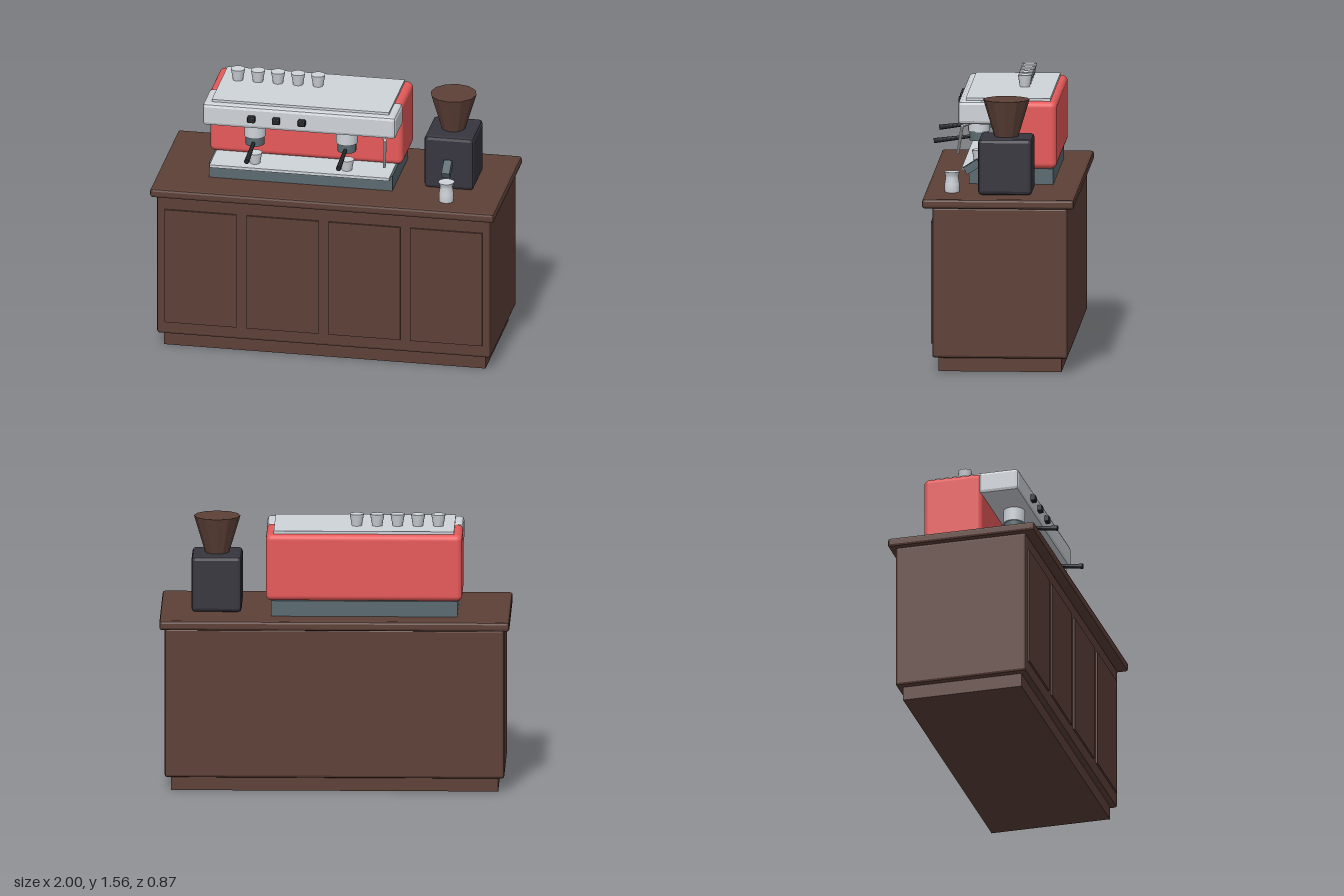
import * as THREE from 'three';
import { RoundedBoxGeometry } from 'three/addons/geometries/RoundedBoxGeometry.js';
import { toCreasedNormals } from 'three/addons/utils/BufferGeometryUtils.js';

const paint = (name, color) => {
  const m = new THREE.MeshStandardMaterial({ color });
  m.name = name;
  return m;
};

export function createModel() {
  const wood = paint('darkWood', 0x5d4037);
  const red = paint('redEnamel', 0xe85a5a);
  const steel = paint('lightSteel', 0xcfd4da);
  const slate = paint('slateMetal', 0x5a6a70);
  const charcoal = paint('charcoal', 0x37363f);
  const black = paint('blackPlastic', 0x24262a);

  const model = new THREE.Group();
  model.name = 'coffeeCounter';

  const add = (name, geometry, material, parent = model) => {
    const mesh = new THREE.Mesh(geometry, material);
    mesh.name = name;
    parent.add(mesh);
    return mesh;
  };
  // Box from its limits; bevel 0 is sharp, one segment is a chamfer
  const box = (name, mat, [x0, x1], [y0, y1], [z0, z1], bevel = 0, segments = 1, parent = model) => {
    const w = x1 - x0, h = y1 - y0, d = z1 - z0;
    const g = bevel ? new RoundedBoxGeometry(w, h, d, segments, bevel) : new THREE.BoxGeometry(w, h, d);
    if (bevel && segments === 1) g.computeVertexNormals();
    const mesh = add(name, g, mat, parent);
    mesh.position.set((x0 + x1) / 2, (y0 + y1) / 2, (z0 + z1) / 2);
    return mesh;
  };
  // Upright cylinder or cone standing on y0
  const drum = (name, mat, rTop, rBottom, [y0, y1], x, z, sides = 16, parent = model) => {
    const g = toCreasedNormals(new THREE.CylinderGeometry(rTop, rBottom, y1 - y0, sides), 0.45);
    const mesh = add(name, g, mat, parent);
    mesh.position.set(x, (y0 + y1) / 2, z);
    return mesh;
  };
  // Round rod between two points
  const rod = (name, mat, a, b, rA, rB, parent = model) => {
    const p = new THREE.Vector3(...a), q = new THREE.Vector3(...b);
    const dir = q.clone().sub(p);
    const g = toCreasedNormals(new THREE.CylinderGeometry(rB, rA, dir.length(), 10), 0.7);
    const mesh = add(name, g, mat, parent);
    mesh.position.copy(p).add(q).multiplyScalar(0.5);
    mesh.quaternion.setFromUnitVectors(new THREE.Vector3(0, 1, 0), dir.normalize());
    return mesh;
  };
  const cup = (x, y, z, parent) => drum('cup', steel, 0.041, 0.029, [y, y + 0.068], x, z, 16, parent);

  // Counter
  box('plinth', wood, [-0.935, 0.935], [0, 0.09], [-0.36, 0.342]);
  box('cabinet', wood, [-0.97, 0.97], [0.08, 0.95], [-0.397, 0.378], 0.015);
  box('countertop', wood, [-1, 1], [0.945, 1], [-0.435, 0.435], 0.015);
  for (let i = 0; i < 4; i++) {
    const x = (i - 1.5) * 0.476;
    box('doorPanel', wood, [x - 0.209, x + 0.209], [0.157, 0.857], [0.37, 0.388]);
  }

  // Espresso machine
  const machine = new THREE.Group();
  machine.name = 'espressoMachine';
  model.add(machine);
  box('base', slate, [-0.7, 0.366], [1, 1.09], [-0.28, 0.203], 0, 1, machine);
  box('dripTray', steel, [-0.69, 0.355], [1.077, 1.094], [-0.1, 0.243], 0, 1, machine);
  box('body', red, [-0.727, 0.395], [1.092, 1.477], [-0.3, 0.045], 0.032, 4, machine);
  box('head', steel, [-0.728, 0.396], [1.345, 1.479], [0.03, 0.264], 0.02, 1, machine);
  box('cupShelf', steel, [-0.68, 0.35], [1.47, 1.493], [-0.262, 0.221], 0, 1, machine);
  for (const x of [-0.44, -0.296, -0.147])
    box('button', black, [x - 0.022, x + 0.022], [1.391, 1.43], [0.255, 0.29], 0.006, 1, machine);
  for (let i = 0; i < 5; i++) cup(-0.587 + i * 0.1165, 1.493, -0.09, machine);

  // Brewing groups with their handles and cups
  for (const x of [-0.44, 0.094]) {
    drum('groupHead', steel, 0.062, 0.062, [1.266, 1.35], x, 0.16, 20, machine);
    drum('filterHolder', slate, 0.054, 0.054, [1.214, 1.266], x, 0.16, 20, machine);
    rod('filterHandle', black, [x, 1.236, 0.2], [x, 1.207, 0.418], 0.01, 0.015, machine);
    cup(x, 1.09, 0.16, machine);
  }

  // Steam wand
  const elbow = [0.332, 1.328, 0.243], tip = [0.332, 1.17, 0.267];
  rod('wandArm', steel, [0.29, 1.35, 0.17], elbow, 0.009, 0.009, machine);
  rod('wand', steel, elbow, tip, 0.009, 0.008, machine);
  add('wandElbow', new THREE.SphereGeometry(0.009, 10, 8), steel, machine).position.set(...elbow);

  // Grinder
  const grinder = new THREE.Group();
  grinder.name = 'grinder';
  model.add(grinder);
  box('grinderBody', charcoal, [0.535, 0.822], [1, 1.323], [-0.185, 0.125], 0.022, 1, grinder);
  const hopper = drum('hopper', wood, 0.133, 0.068, [1.32, 1.535], 0.678, -0.03, 12, grinder);
  hopper.geometry.computeVertexNormals();
  const chute = box('chute', slate, [0.654, 0.7], [1.122, 1.168], [0.118, 0.212], 0, 1, grinder);
  chute.rotation.x = 0.57;

  // Milk jug
  const profile = [[0, 0], [0.041, 0], [0.043, 0.015], [0.042, 0.05], [0.036, 0.085], [0.038, 0.098],
    [0.046, 0.117], [0.041, 0.117], [0, 0.112]].map(([r, y]) => new THREE.Vector2(r, y));
  const jug = add('milkJug', toCreasedNormals(new THREE.LatheGeometry(profile, 20), 0.6), steel);
  jug.position.set(0.695, 1, 0.28);

  return model;
}
